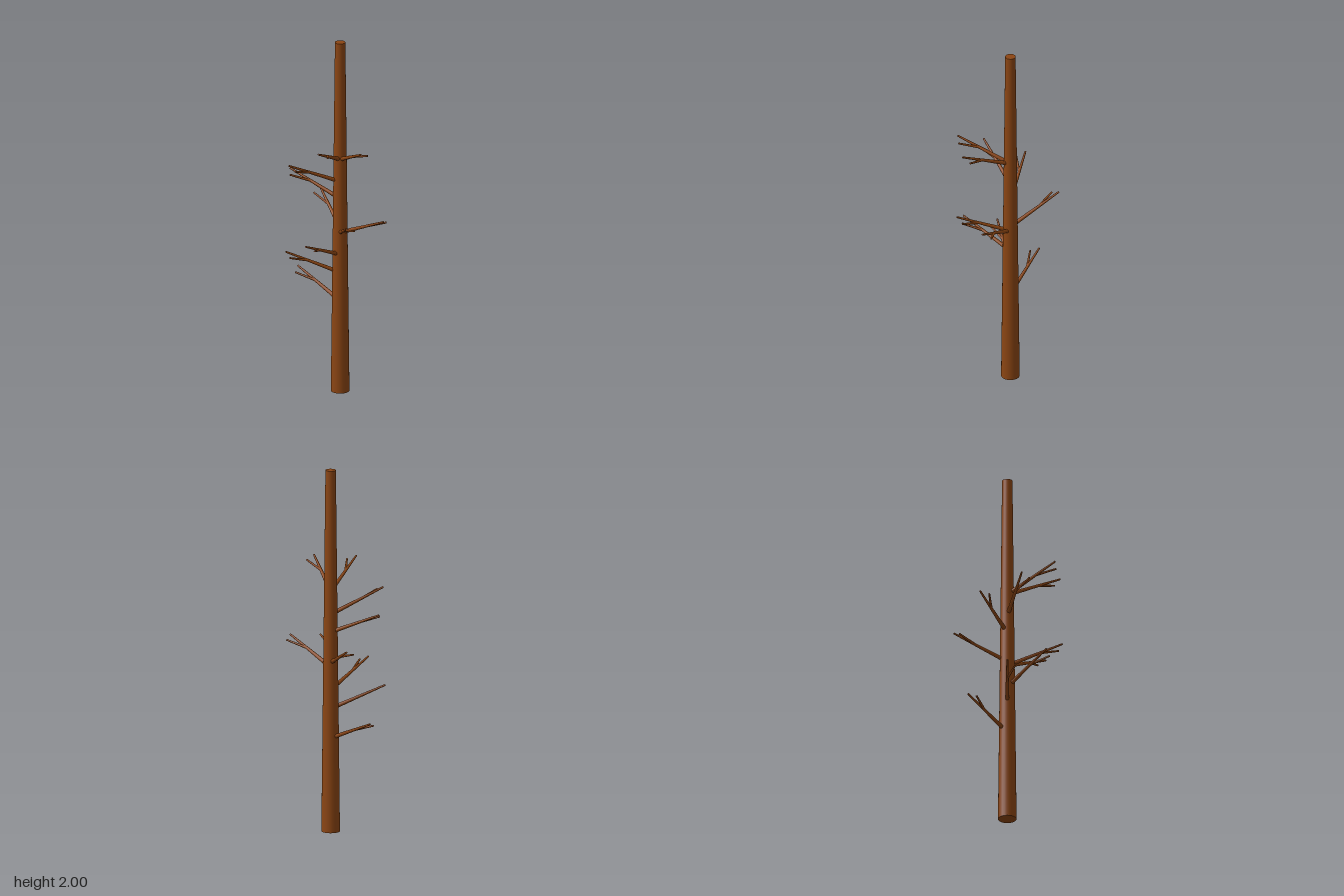
import * as THREE from 'three';

const bark = new THREE.MeshStandardMaterial({ color: 0x8b4513 });
const TRUNK_X = 0.05;

// Tapered round limb between two points
function limb(name, from, to, r0, r1, sides) {
  const dir = to.clone().sub(from);
  const mesh = new THREE.Mesh(new THREE.CylinderGeometry(r1, r0, dir.length(), sides), bark);
  mesh.name = name;
  mesh.position.copy(from).addScaledVector(dir, 0.5);
  mesh.quaternion.setFromUnitVectors(new THREE.Vector3(0, 1, 0), dir.normalize());
  return mesh;
}

// Branch tips from low to high: [tip x, y, z, twig tip x, z]
const branches = [
  [-0.107, 0.645, -0.250, -0.135, -0.210],
  [-0.237, 0.808, -0.063, -0.229, -0.015],
  [-0.197, 0.912, 0.160, -0.156, 0.188],
  [-0.010, 1.038, 0.290, 0.038, 0.280],
  [0.213, 1.038, 0.248, 0.242, 0.210],
  [0.035, 1.063, -0.298, -0.008, -0.276],
  [-0.168, 1.232, -0.198, -0.185, -0.151],
  [-0.244, 1.330, 0.015, -0.223, 0.061],
  [-0.145, 1.458, 0.220, -0.098, 0.237],
  [0.070, 1.458, 0.295, 0.115, 0.273],
];

export function createModel() {
  const model = new THREE.Group();
  model.name = 'bareTree';

  // Trunk
  model.add(limb('trunk', new THREE.Vector3(TRUNK_X, 0, 0), new THREE.Vector3(TRUNK_X, 2, 0), 0.05, 0.028, 24));

  // Branches, each with a side twig that forks off past the middle
  branches.forEach(([x, y, z, tx, tz], i) => {
    const group = new THREE.Group();
    group.name = `branch${i + 1}`;
    const root = new THREE.Vector3(TRUNK_X, y - 0.13, 0);
    const tip = new THREE.Vector3(x, y, z);
    const fork = root.clone().lerp(tip, 0.58);
    group.add(
      limb('mainBranch', root, tip, 0.012, 0.005, 10),
      limb('twig', fork, new THREE.Vector3(tx, y - 0.02, tz), 0.007, 0.005, 8),
    );
    model.add(group);
  });
  return model;
}
